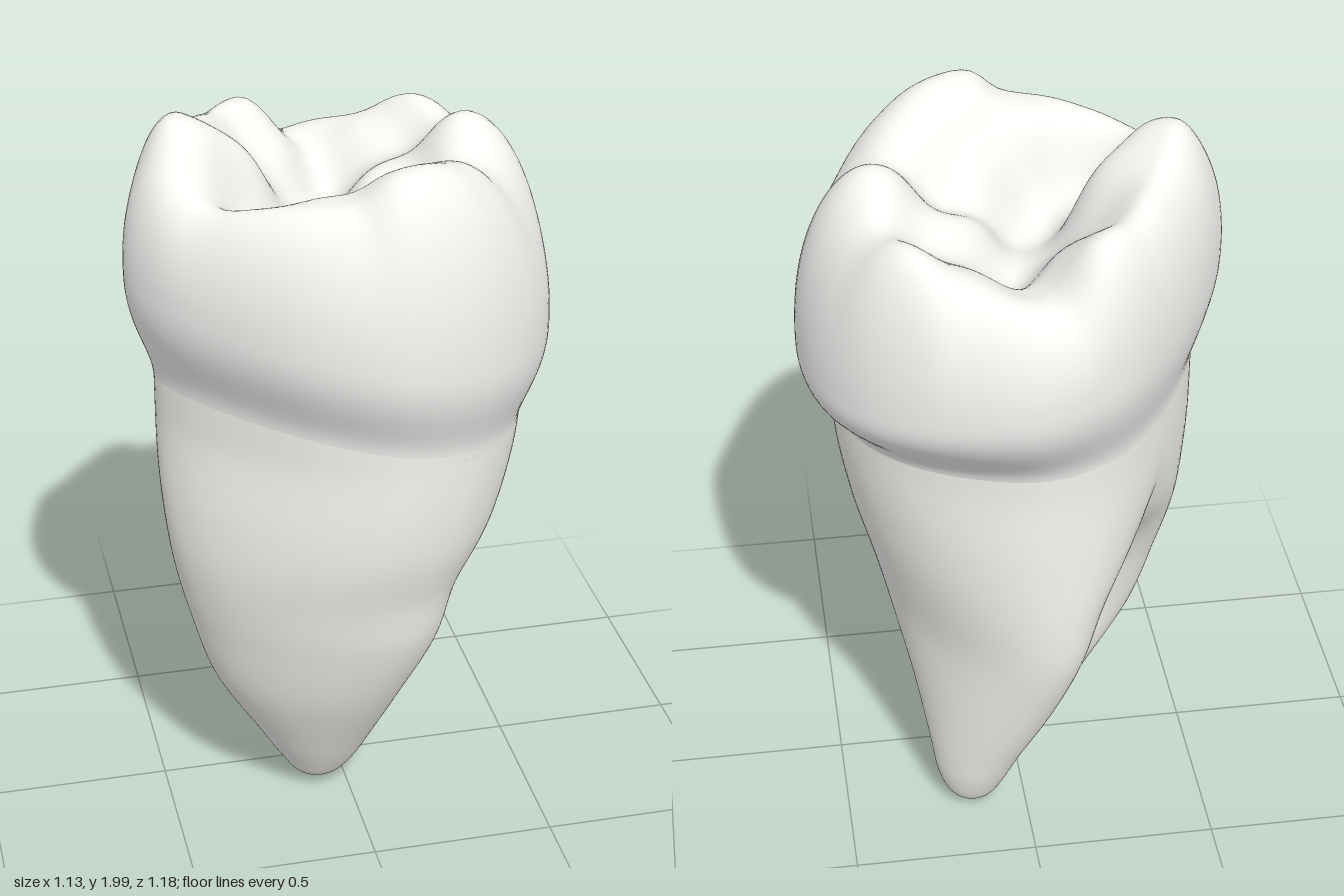
import * as THREE from 'three';

const V = (x, y, z) => new THREE.Vector3(x, y, z);
const lerp = THREE.MathUtils.lerp;
const SIDES = 112;

// widest outline of the crown seen from above (x, z)
const outline = new THREE.CatmullRomCurve3([
  [0.565, -0.02], [0.54, 0.17], [0.45, 0.36], [0.28, 0.52], [0.06, 0.59], [-0.17, 0.525],
  [-0.39, 0.36], [-0.52, 0.2], [-0.565, 0.06], [-0.515, -0.1], [-0.36, -0.35],
  [-0.2, -0.51], [0.01, -0.59], [0.23, -0.54], [0.41, -0.42], [0.52, -0.25],
].map(([x, z]) => V(x, 0, z)), true);
const ring = Array.from({ length: SIDES }, (_, j) => outline.getPoint(j / SIDES));

// neck of the tooth, where crown and roots meet, slimmer across the diagonal
const neckX = p => p.x * 0.9 - 0.01 - 0.04 * (p.x - p.z);
const neckZ = p => p.z * 0.88 + 0.02 + 0.04 * (p.x - p.z);

// chewing surface landmarks (x, z, height)
const landmarks = [
  // cusps
  [-0.38, 0.01, 2.01], [0.12, 0.34, 1.965], [0.34, -0.02, 1.95], [-0.17, -0.36, 1.94], [0.32, -0.35, 1.92],
  // ridges running inward
  [-0.26, -0.04, 1.92], [0.06, 0.2, 1.82], [0.22, 0.23, 1.92], [-0.12, 0.36, 1.88], [0.16, -0.08, 1.81],
  [0.16, -0.32, 1.81], [-0.13, -0.27, 1.8],
  // central fissure
  [0.04, -0.2, 1.62], [-0.07, -0.08, 1.64], [-0.06, 0.08, 1.61], [-0.22, 0.15, 1.67], [-0.01, -0.39, 1.7],
  // side grooves
  [0.33, 0.12, 1.84], [0.15, 0.06, 1.72], [0.37, -0.19, 1.85], [0.2, -0.2, 1.74], [-0.3, -0.19, 1.93], [-0.17, -0.15, 1.76],
  // margins
  [-0.38, 0.2, 1.84], [-0.5, 0.12, 1.92], [-0.27, 0.32, 1.87], [0.05, -0.47, 1.82],
];
function chewHeight(x, z) {
  let sum = 0, total = 0;
  for (const [px, pz, h] of landmarks) {
    const w = Math.exp(-((x - px) ** 2 + (z - pz) ** 2) / (2 * 0.072 ** 2));
    sum += w * h;
    total += w;
  }
  return sum / total;
}

// closed rings from top to bottom, joined into one smooth skin
function loft(name, rows, point, material) {
  const pos = [], index = [];
  for (let i = 0; i <= rows; i++) {
    for (let j = 0; j < SIDES; j++) pos.push(...point(i, ring[j]).toArray());
  }
  for (let i = 0; i < rows; i++) {
    for (let j = 0; j < SIDES; j++) {
      const k = (j + 1) % SIDES;
      const a = i * SIDES + j, b = i * SIDES + k, c = a + SIDES, d = b + SIDES;
      index.push(a, b, c, b, d, c);
    }
  }
  const geo = new THREE.BufferGeometry();
  geo.setAttribute('position', new THREE.Float32BufferAttribute(pos, 3));
  geo.setIndex(index);
  geo.computeVertexNormals();
  const mesh = new THREE.Mesh(geo, material);
  mesh.name = name;
  return mesh;
}

// chewing surface, rounded shoulder, bulging wall and neck
const TOP = 48, SHOULDER = 28, WALL = 20;
function crownPoint(i, p) {
  const side = p.x / 0.565;
  const corner = ((p.x - p.z) / 0.8) ** 2;
  const rim = 0.65 - 0.07 * side + 0.05 * corner;
  const bulgeY = 1.52 - 0.1 * side;
  const neckY = 1.225 - 0.09 * p.x + 0.035 * corner;
  if (i <= TOP + SHOULDER) {
    const f = Math.max(i - TOP, 0) / SHOULDER * Math.PI / 2;
    const s = i <= TOP ? Math.max(rim * i / TOP, 0.001) : rim + (1 - rim) * Math.sin(f);
    const x = p.x * s, z = p.z * s;
    return V(x, lerp(bulgeY, chewHeight(x, z), Math.cos(f)), z);
  }
  const q = (i - TOP - SHOULDER) / WALL;
  const bend = THREE.MathUtils.smoothstep(q ** 1.4, 0, 1.04);
  return V(lerp(p.x, neckX(p), bend), lerp(bulgeY, neckY, q), lerp(p.z, neckZ(p), bend));
}

// root sections [y, centre x, centre z, long half, short half, share of neck outline]
function root(name, turn, sections, material) {
  const centre = new THREE.CatmullRomCurve3(sections.map(s => V(s[1], s[0], s[2])), false, 'catmullrom');
  const size = new THREE.CatmullRomCurve3(sections.map(s => V(s[3], s[4], s[5])), false, 'catmullrom');
  const rows = 80;
  const cos = Math.cos(turn), sin = Math.sin(turn);
  return loft(name, rows, (i, p) => {
    const c = centre.getPoint(i / rows), s = size.getPoint(i / rows);
    const angle = Math.atan2(p.z, p.x) - turn;
    const u = Math.max(s.x, 0.001) * Math.cos(angle), w = Math.max(s.y, 0.001) * Math.sin(angle);
    const share = THREE.MathUtils.clamp(s.z, 0, 1);
    return V(
      lerp(c.x + u * cos - w * sin, neckX(p), share), c.y,
      lerp(c.z + u * sin + w * cos, neckZ(p), share));
  }, material);
}

export function createModel() {
  const tooth = new THREE.Group();
  tooth.name = 'molarTooth';
  const enamel = new THREE.MeshStandardMaterial({ color: 0xf6f5f2 });
  const cementum = new THREE.MeshStandardMaterial({ color: 0xf4f2ee });

  tooth.add(loft('crown', TOP + SHOULDER + WALL, crownPoint, enamel));

  tooth.add(root('frontRoot', 0.48, [
    [1.38, -0.1, 0.2, 0.44, 0.32, 1],
    [1.16, -0.1, 0.2, 0.44, 0.31, 0.98],
    [0.95, -0.1, 0.2, 0.42, 0.28, 0.55],
    [0.77, -0.11, 0.2, 0.385, 0.24, 0.1],
    [0.6, -0.11, 0.21, 0.345, 0.2, 0],
    [0.4, -0.12, 0.19, 0.265, 0.16, 0],
    [0.2, -0.09, 0.135, 0.165, 0.13, 0],
    [0.1, -0.08, 0.118, 0.11, 0.095, 0],
    [0.04, -0.08, 0.11, 0.064, 0.06, 0],
    [0.015, -0.08, 0.11, 0, 0, 0],
  ], cementum));

  tooth.add(root('backRoot', 0.88, [
    [1.38, 0.09, -0.15, 0.42, 0.3, 1],
    [1.16, 0.09, -0.15, 0.42, 0.29, 0.98],
    [0.95, 0.09, -0.16, 0.4, 0.26, 0.5],
    [0.77, 0.095, -0.18, 0.37, 0.22, 0.1],
    [0.6, 0.1, -0.205, 0.33, 0.175, 0],
    [0.4, 0.11, -0.23, 0.24, 0.145, 0],
    [0.2, 0.135, -0.248, 0.145, 0.11, 0],
    [0.1, 0.147, -0.25, 0.105, 0.09, 0],
    [0.03, 0.15, -0.25, 0.064, 0.06, 0],
    [0, 0.15, -0.25, 0, 0, 0],
  ], cementum));

  // small reddish tissue between the roots
  const tissue = new THREE.Mesh(
    new THREE.SphereGeometry(0.05, 20, 14),
    new THREE.MeshStandardMaterial({ color: 0x8c5a55 }));
  tissue.name = 'rootTissue';
  tissue.scale.set(0.8, 1.4, 0.9);
  tissue.position.set(0.04, 0.63, 0.06);
  tooth.add(tissue);

  return tooth;
}
